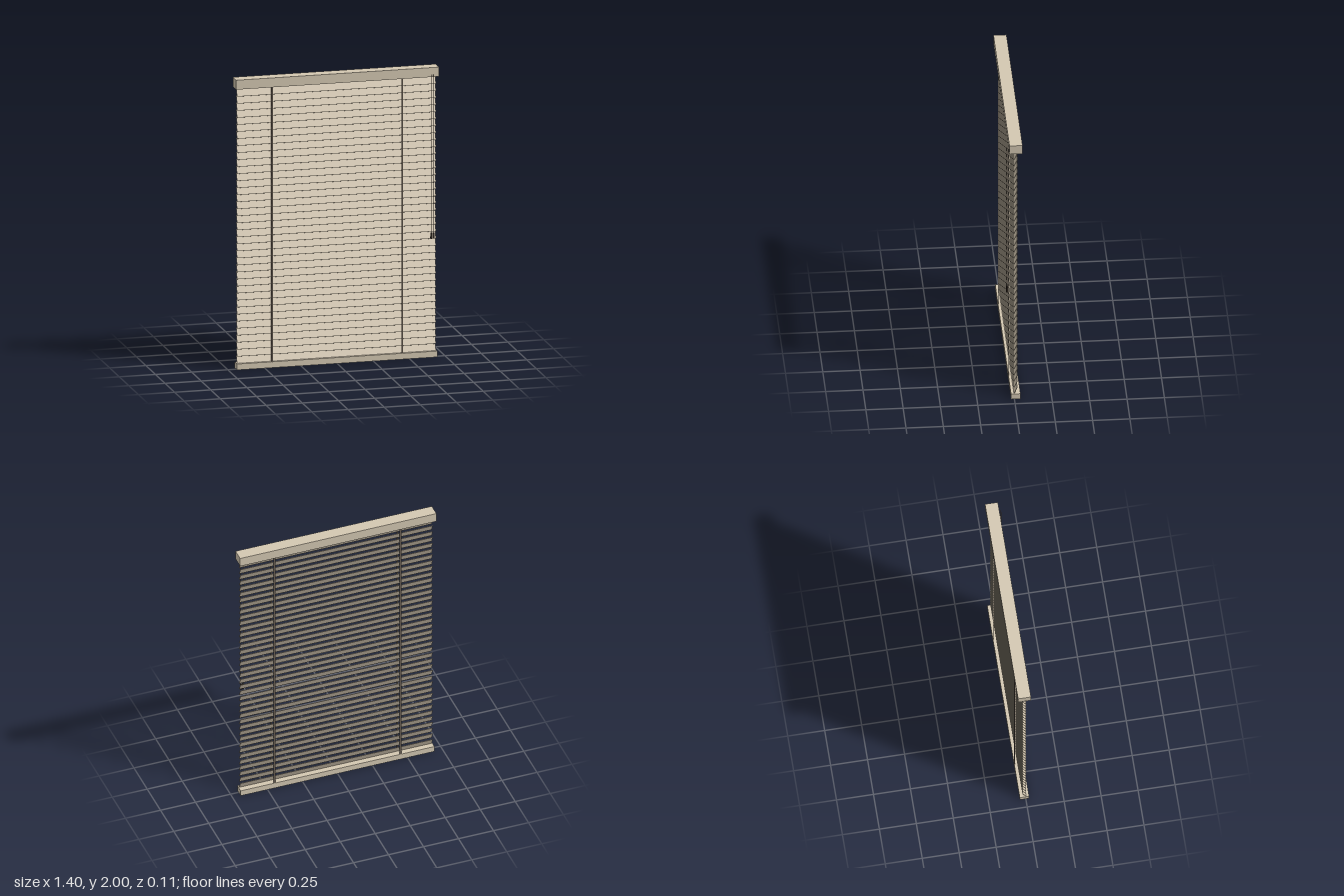
import * as THREE from 'three';

const material = (name, color) => {
  const m = new THREE.MeshStandardMaterial({ color });
  m.name = name;
  return m;
};

export function createModel() {
  const blind = new THREE.Group();
  blind.name = 'venetianBlind';

  const railBeige = material('railBeige', 0xd4c8b2);
  const slatBeige = material('slatBeige', 0xd6c9b3);
  const ladderBrown = material('ladderBrown', 0x85776a);
  const tasselBrown = material('tasselBrown', 0x42382f);

  const add = (name, geometry, mat, x, y, z) => {
    const mesh = new THREE.Mesh(geometry, mat);
    mesh.name = name;
    mesh.position.set(x, y, z);
    blind.add(mesh);
    return mesh;
  };

  const midZ = -0.009; // plane of the slats and rails

  // Head rail and bottom rail
  add('headRail', new THREE.BoxGeometry(1.402, 0.065, 0.087), railBeige, 0, 1.9675, midZ - 0.001);
  add('bottomRail', new THREE.BoxGeometry(1.384, 0.041, 0.063), railBeige, 0, 0.0205, midZ);

  // Tilted slats, front edge down
  const count = 39;
  const pitch = 0.0484;
  const slat = new THREE.BoxGeometry(1.374, 0.003, 0.0545);
  for (let i = 0; i < count; i++) {
    add('slat', slat, slatBeige, 0, 0.064 + i * pitch, midZ).rotation.x = THREE.MathUtils.degToRad(65);
  }

  // Ladder tapes in front of and behind the slats
  const tape = new THREE.BoxGeometry(0.01, 1.9, 0.003);
  for (const x of [-0.45, 0.45]) {
    for (const dz of [-0.029, 0.029]) add('ladderTape', tape, ladderBrown, x, 0.989, midZ + dz);
  }

  // Pull cords with tassels
  const cord = new THREE.CylinderGeometry(0.0018, 0.0018, 1.1, 8);
  const tassel = new THREE.CylinderGeometry(0.006, 0.007, 0.04, 12);
  for (const x of [0.643, 0.658]) {
    add('pullCord', cord, ladderBrown, x, 1.405, 0.046);
    add('tassel', tassel, tasselBrown, x, 0.845, 0.046);
  }

  return blind;
}
